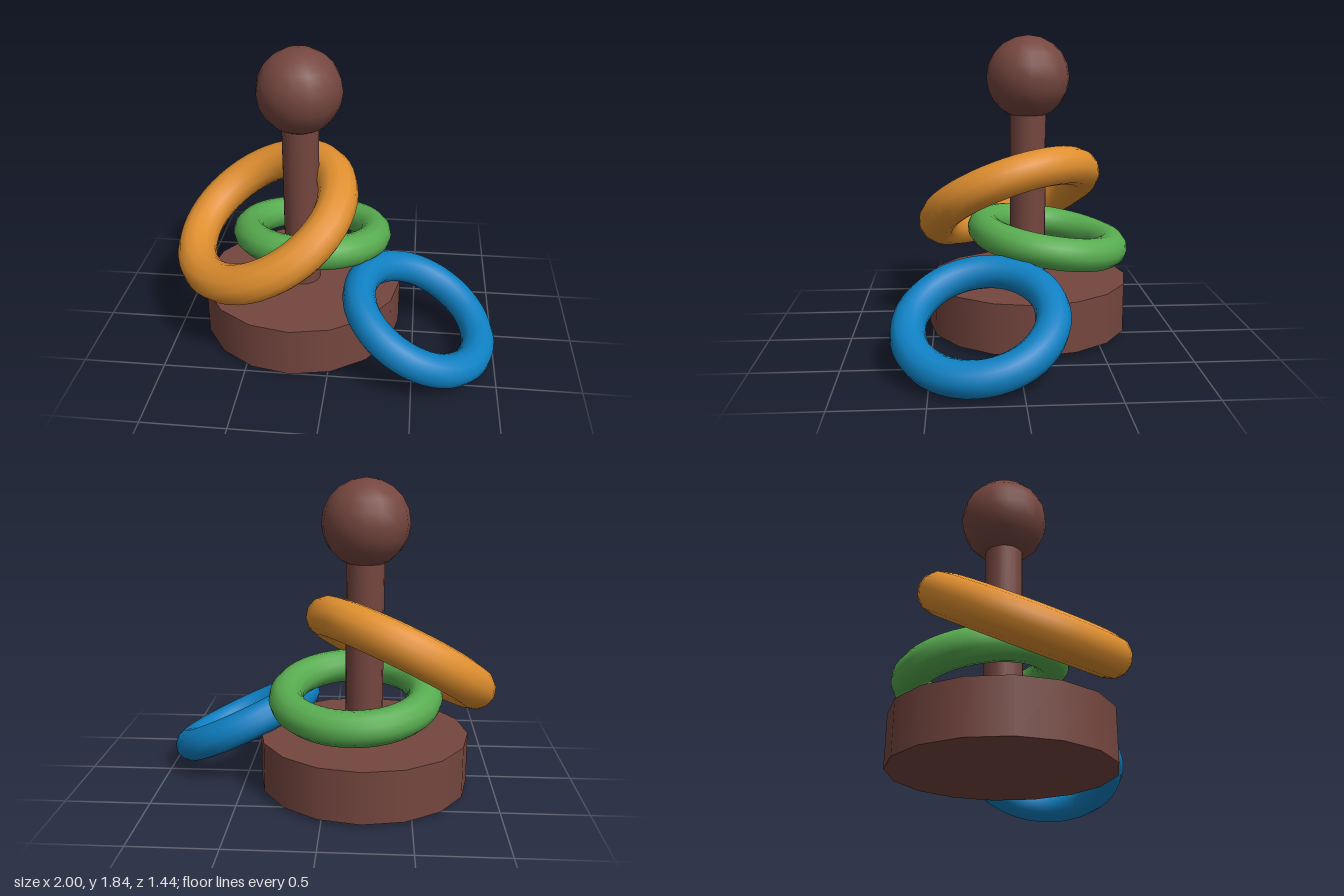
import * as THREE from 'three';

const material = (name, color) => {
  const m = new THREE.MeshStandardMaterial({ color });
  m.name = name;
  return m;
};

export function createModel() {
  const model = new THREE.Group();
  model.name = 'ringStacker';

  const wood = material('darkBrown', 0x75463f);
  const orange = material('orange', 0xe08f2f);
  const green = material('green', 0x58ac50);
  const blue = material('blue', 0x0e80c2);

  const add = (name, geometry, mat, x, y, z) => {
    const mesh = new THREE.Mesh(geometry, mat);
    mesh.name = name;
    mesh.position.set(x, y, z);
    model.add(mesh);
    return mesh;
  };

  // Stand: round base, post and ball, all on one axis
  const axisX = -0.222, axisZ = -0.1;
  add('base', new THREE.CylinderGeometry(0.625, 0.625, 0.305, 16), wood, axisX, 0.178, axisZ);
  add('post', new THREE.CylinderGeometry(0.112, 0.112, 1.2, 16), wood, axisX, 0.9, axisZ);
  add('ball', new THREE.SphereGeometry(0.257, 16, 10), wood, axisX, 1.588, axisZ);

  // Loose rings: each is a torus turned so its axis follows the given direction
  const rings = [
    ['orangeRing', orange, 0.497, 0.121, [-0.43, 0.795, 0], [-0.424, 0.852, 0.306]],
    ['greenRing', green, 0.405, 0.101, [-0.172, 0.6, -0.22], [0.02, 0.987, -0.16]],
    ['blueRing', blue, 0.404, 0.1, [0.533, 0.29, 0.22], [0.429, 0.893, 0.14]],
  ];
  const torusAxis = new THREE.Vector3(0, 0, 1);
  for (const [name, mat, radius, tube, position, direction] of rings) {
    const ring = add(name, new THREE.TorusGeometry(radius, tube, 12, 48), mat, ...position);
    ring.quaternion.setFromUnitVectors(torusAxis, new THREE.Vector3(...direction).normalize());
  }

  return model;
}
